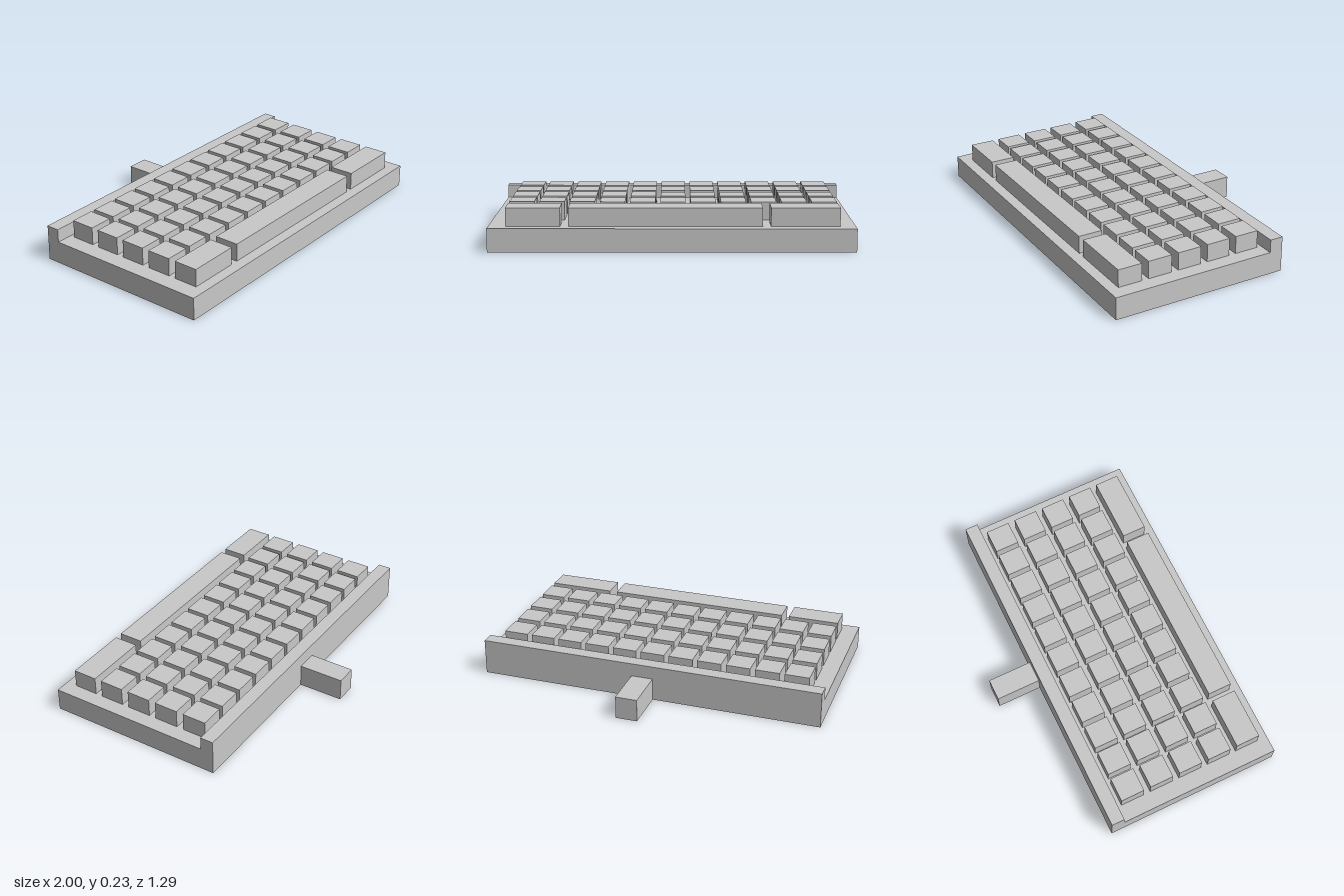
import * as THREE from 'three';

const grey = new THREE.MeshStandardMaterial({ color: 0xc8c8c8 });
grey.name = 'light grey';

const DECK = 0.131;      // top of the case
const KEY_TOP = 0.234;
const KEY = 0.14;        // side of a square key

// Box given by its limits on each axis
function block(name, [x0, x1], [y0, y1], [z0, z1]) {
  const mesh = new THREE.Mesh(new THREE.BoxGeometry(x1 - x0, y1 - y0, z1 - z0), grey);
  mesh.position.set((x0 + x1) / 2, (y0 + y1) / 2, (z0 + z1) / 2);
  mesh.name = name;
  return mesh;
}

export function createModel() {
  const model = new THREE.Group();
  model.name = 'keyboard';

  // Case: side profile (z, y) with a raised rear lip, swept along x
  const profile = new THREE.Shape([
    [-0.386, 0], [0.645, 0], [0.645, DECK], [-0.309, DECK], [-0.309, 0.207], [-0.386, 0.207],
  ].map(([z, y]) => new THREE.Vector2(z, y)));
  const caseGeometry = new THREE.ExtrudeGeometry(profile, { depth: 2, bevelEnabled: false });
  caseGeometry.translate(0, 0, -1).rotateY(-Math.PI / 2);
  const body = new THREE.Mesh(caseGeometry, grey);
  body.name = 'case';
  model.add(body);

  // Cable plug at the rear, slightly off centre
  model.add(block('cablePlug', [-0.033, 0.092], [0, DECK], [-0.645, -0.386]));

  // Four rows of square keys
  const keys = new THREE.Group();
  keys.name = 'keys';
  const rowZ = (row) => [-0.281 + row * 0.181, -0.281 + row * 0.181 + KEY];
  for (let row = 0; row < 4; row++) {
    for (let col = 0; col < 11; col++) {
      const x = -0.905 + col * 0.168;
      keys.add(block('key', [x, x + KEY], [DECK, KEY_TOP], rowZ(row)));
    }
  }

  // Front row: two wide keys around the space bar
  const wide = { leftWideKey: [0.538, 0.915], spaceBar: [-0.563, 0.493], rightWideKey: [-0.905, -0.608] };
  for (const [name, span] of Object.entries(wide)) {
    keys.add(block(name, span, [DECK, KEY_TOP], rowZ(4)));
  }
  model.add(keys);
  return model;
}
